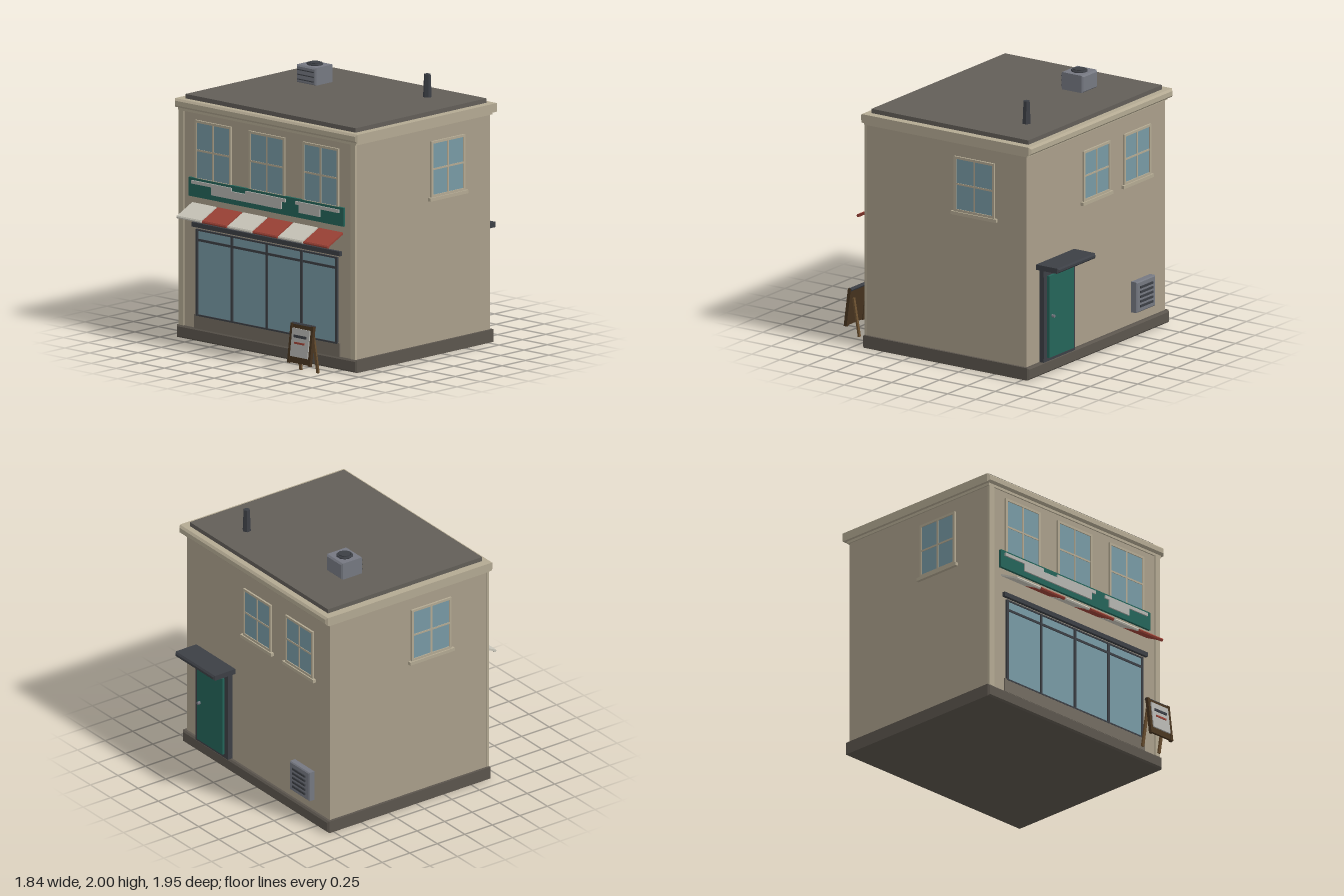
import * as THREE from 'three';

const mat = (color) => new THREE.MeshStandardMaterial({ color, flatShading: true });
const M = {
  wall: mat(0xa99e8a), trim: mat(0xb3a992), plinth: mat(0x5b554d), riser: mat(0x736c61),
  roof: mat(0x625e58), dark: mat(0x3c3f45), metal: mat(0x757881), teal: mat(0x246459),
  red: mat(0x9c4236), cream: mat(0xc9c6ba), panel: mat(0xb4b4b0), glass: mat(0x7799a4), wood: mat(0x47341f),
  leg: mat(0x6b5030),
};
const CZ = -0.06, FRONT = 0.66, BACK = -0.775, SIDE = 0.885;

export function createModel() {
  const model = new THREE.Group();
  model.name = 'cornerShop';

  const add = (parent, name, geometry, material, x = 0, y = 0, z = 0) => {
    const mesh = new THREE.Mesh(geometry, material);
    mesh.name = name;
    mesh.position.set(x, y, z);
    parent.add(mesh);
    return mesh;
  };
  const group = (name, x = 0, y = 0, z = 0, ry = 0) => {
    const g = new THREE.Group();
    g.name = name;
    g.position.set(x, y, z);
    g.rotation.y = ry;
    model.add(g);
    return g;
  };
  const box = (parent, name, material, w, h, d, x, y, z) =>
    add(parent, name, new THREE.BoxGeometry(w, h, d), material, x, y, z);

  // Box with chamfered edges
  const chamfer = (parent, name, material, w, h, d, x, y, z, b = 0.01) => {
    const hw = w / 2 - b, hh = h / 2 - b;
    const s = new THREE.Shape([
      new THREE.Vector2(-hw, -hh), new THREE.Vector2(hw, -hh),
      new THREE.Vector2(hw, hh), new THREE.Vector2(-hw, hh),
    ]);
    const g = new THREE.ExtrudeGeometry(s, {
      depth: d - 2 * b, bevelEnabled: true, bevelSize: b, bevelThickness: b, bevelSegments: 1,
    });
    g.translate(0, 0, -(d / 2 - b));
    return add(parent, name, g, material, x, y, z);
  };

  // Building shell
  const shell = group('shell');
  box(shell, 'walls', M.wall, 2 * SIDE, 1.64, FRONT - BACK, 0, 0.9, (FRONT + BACK) / 2);
  chamfer(shell, 'plinth', M.plinth, 1.81, 0.095, 1.485, 0, 0.0525, CZ - 0.003, 0.012);
  box(shell, 'corniceBed', M.trim, 1.79, 0.03, 1.46, 0, 1.725, CZ);
  chamfer(shell, 'cornice', M.trim, 1.835, 0.065, 1.52, 0, 1.762, -0.07, 0.015);
  box(shell, 'roof', M.roof, 1.71, 0.045, 1.4, 0, 1.805, -0.07);
  for (const s of [-1, 1]) box(shell, 'cornerPilaster', M.trim, 0.048, 1.61, 0.02, s * 0.863, 0.905, FRONT);

  // Four-pane window, facing local +z
  const makeWindow = (name, w, h, x, y, z, ry, sill) => {
    const g = group(name, x, y, z, ry), t = 0.018;
    box(g, 'glass', M.glass, w - t, h - t, 0.01, 0, 0, 0.003);
    for (const s of [-1, 1]) {
      box(g, 'frameSide', M.trim, t, h, 0.026, s * (w - t) / 2, 0, 0.002);
      box(g, 'frameRail', M.trim, w, t, 0.026, 0, s * (h - t) / 2, 0.002);
    }
    box(g, 'verticalBar', M.trim, 0.014, h - t, 0.02, 0, 0, 0.002);
    box(g, 'horizontalBar', M.trim, w - t, 0.014, 0.02, 0, 0, 0.002);
    if (sill) box(g, 'sill', M.trim, w + 0.045, 0.025, 0.05, 0, -h / 2 - 0.0125, 0);
  };
  for (const x of [-0.54, 0, 0.54]) makeWindow('frontWindow', 0.36, 0.45, x, 1.435, FRONT, 0, false);
  makeWindow('leftWindow', 0.36, 0.42, SIDE, 1.4, -0.315, Math.PI / 2, true);
  makeWindow('rightWindow', 0.36, 0.42, -SIDE, 1.4, 0.14, -Math.PI / 2, true);
  for (const x of [0, -0.52]) makeWindow('backWindow', 0.34, 0.385, x, 1.3825, BACK, Math.PI, true);

  // Shop front
  const shop = group('shopFront');
  box(shop, 'stallRiser', M.riser, 1.46, 0.105, 0.025, 0, 0.15, FRONT);
  box(shop, 'shopGlass', M.glass, 1.4, 0.645, 0.01, 0, 0.52, FRONT + 0.002);
  for (let i = -2; i <= 2; i++) box(shop, 'mullion', M.dark, 0.02, 0.65, 0.03, i * 0.35, 0.52, FRONT);
  box(shop, 'transom', M.dark, 1.41, 0.018, 0.026, 0, 0.764, FRONT);
  for (const y of [0.2, 0.839]) box(shop, 'frameRail', M.dark, 1.42, 0.012, 0.028, 0, y, FRONT);
  box(shop, 'fascia', M.dark, 1.49, 0.034, 0.05, 0, 0.876, FRONT);

  // Sign board with plain raised panels: x from, x to, y from, y to
  const sign = group('sign');
  box(sign, 'signBoard', M.teal, 1.555, 0.14, 0.04, 0, 1.155, FRONT);
  for (const [a, b, c, d] of [
    [-0.74, -0.34, 1.183, 1.208], [-0.2, 0.2, 1.183, 1.208], [0.3, 0.74, 1.183, 1.208],
    [-0.54, 0.16, 1.125, 1.183], [0.34, 0.55, 1.125, 1.183],
  ]) box(sign, 'raisedPanel', M.panel, b - a, d - c, 0.012, (a + b) / 2, (c + d) / 2, 0.685);

  // Striped awning
  for (let i = 0; i < 6; i++) {
    const g = group('awningPanel', (i - 2.5) * 0.2547, 0, 0), m = i % 2 ? M.red : M.cream;
    const cloth = box(g, 'awningCloth', m, 0.242, 0.014, 0.18, 0, 0.992, 0.74);
    cloth.rotation.x = Math.atan2(0.075, 0.16);
    add(g, 'awningEdge', new THREE.CylinderGeometry(0.012, 0.012, 0.242, 6), m, 0, 0.952, 0.82).rotation.z = Math.PI / 2;
  }

  // Back door with hood
  const door = group('backDoor', 0.5225, 0, BACK, Math.PI);
  for (const s of [-1, 1]) box(door, 'doorJamb', M.dark, 0.045, 0.71, 0.07, s * 0.177, 0.455, 0.005);
  box(door, 'doorLintel', M.dark, 0.4, 0.06, 0.07, 0, 0.785, 0.005);
  box(door, 'doorStep', M.dark, 0.4, 0.03, 0.07, 0, 0.115, 0.005);
  box(door, 'doorLeaf', M.teal, 0.315, 0.625, 0.06, 0, 0.4425, 0.03);
  chamfer(door, 'doorHood', M.dark, 0.485, 0.04, 0.21, 0, 0.837, 0.095, 0.012);
  add(door, 'doorKnob', new THREE.CylinderGeometry(0.012, 0.012, 0.025, 8), M.metal, -0.12, 0.445, 0.07).rotation.x = Math.PI / 2;

  // Wall vent
  const vent = group('wallVent', -0.575, 0.305, BACK, Math.PI);
  chamfer(vent, 'ventBox', M.metal, 0.24, 0.235, 0.06, 0, 0, 0.02, 0.008);
  for (let i = -2; i <= 2; i++) {
    box(vent, 'ventSlat', M.dark, 0.16, 0.016, 0.018, 0, i * 0.036, 0.05);
  }

  // Rooftop cooling unit
  const cooler = group('coolingUnit', -0.445, 0, -0.318);
  chamfer(cooler, 'coolerBox', M.metal, 0.195, 0.135, 0.195, 0, 1.892, 0, 0.012);
  for (let i = -1; i <= 1; i++) box(cooler, 'coolerSlat', M.dark, 0.165, 0.007, 0.018, 0, 1.89 + i * 0.036, 0.095);
  add(cooler, 'fanRing', new THREE.TorusGeometry(0.053, 0.01, 6, 10), M.dark, 0, 1.964, 0).rotation.x = Math.PI / 2;
  add(cooler, 'fanHub', new THREE.CylinderGeometry(0.045, 0.045, 0.02, 8), M.dark, 0, 1.968, 0);

  // Flue pipe
  add(model, 'fluePipe', new THREE.CylinderGeometry(0.025, 0.033, 0.18, 6), M.dark, 0.505, 1.91, -0.51);

  // Folding pavement board: leaning front panel and back legs
  const board = group('pavementBoard', 0.603, 0, 0);
  const face = new THREE.Group();
  face.name = 'boardFace';
  face.position.set(0, 0.217, 0.944);
  face.rotation.x = -0.13;
  board.add(face);
  box(face, 'boardPanel', M.wood, 0.225, 0.285, 0.016, 0, 0, 0);
  for (const s of [-1, 1]) {
    box(face, 'boardStile', M.wood, 0.022, 0.295, 0.026, s * 0.103, 0, 0);
    const leg = box(board, 'boardLeg', M.leg, 0.022, 0.292, 0.014, s * 0.085, 0.147, 0.881);
    leg.rotation.x = 0.175;
  }
  box(face, 'poster', M.panel, 0.175, 0.21, 0.012, 0, 0.01, 0.012);
  box(face, 'darkStripe', M.dark, 0.125, 0.02, 0.012, 0, 0.057, 0.018);
  box(face, 'redStripe', M.red, 0.1, 0.014, 0.012, 0, 0.008, 0.018);
  add(board, 'hingeBar', new THREE.CylinderGeometry(0.014, 0.014, 0.225, 6), M.dark, 0, 0.357, 0.918).rotation.z = Math.PI / 2;

  return model;
}
